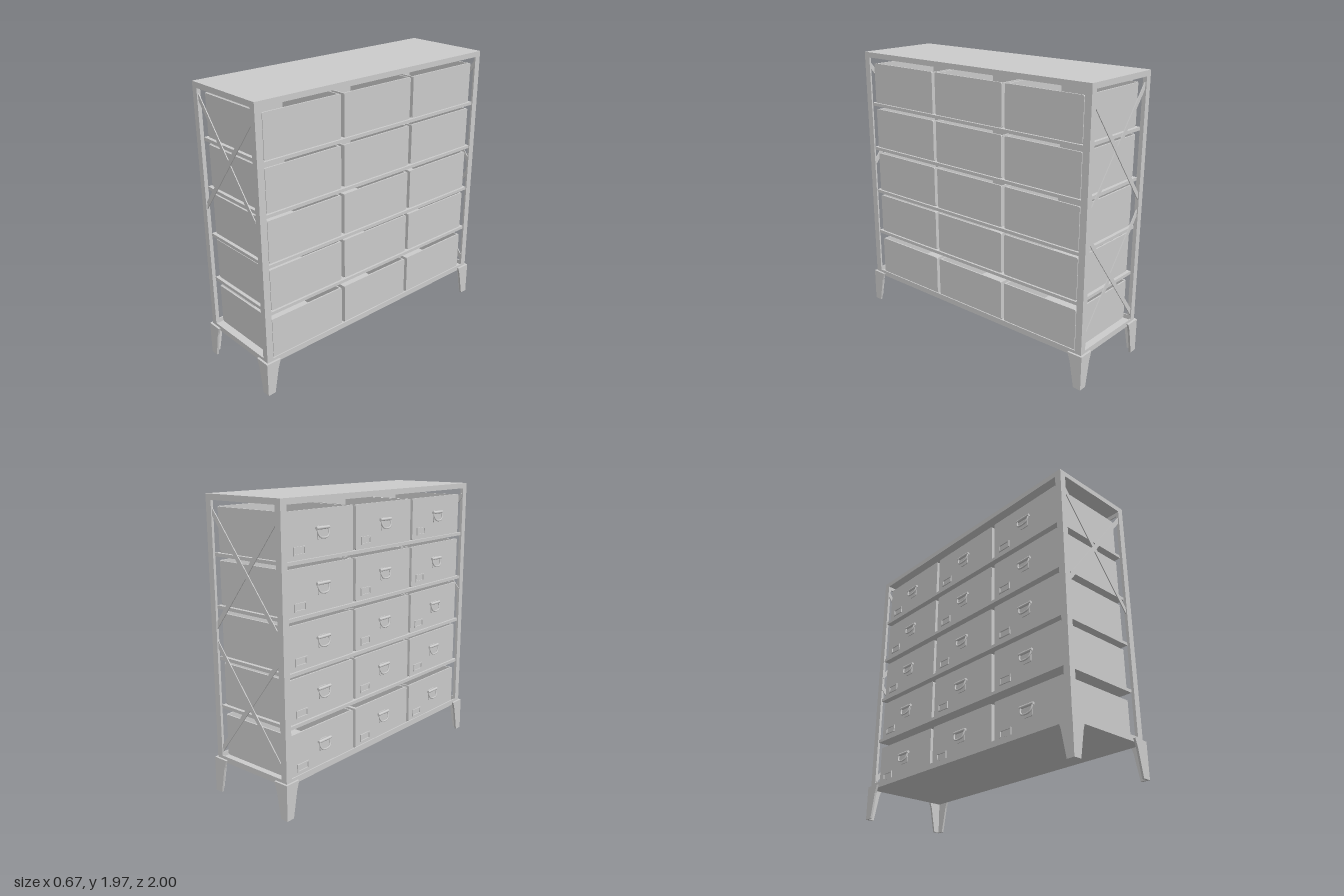
import * as THREE from 'three';

const metal = new THREE.MeshStandardMaterial({ color: 0xcccccc });

function add(parent, name, geometry, x = 0, y = 0, z = 0) {
  const mesh = new THREE.Mesh(geometry, metal);
  mesh.name = name;
  mesh.position.set(x, y, z);
  parent.add(mesh);
  return mesh;
}

// Box given by its minimum and maximum corners
function block(parent, name, [x0, y0, z0], [x1, y1, z1]) {
  const g = new THREE.BoxGeometry(x1 - x0, y1 - y0, z1 - z0);
  return add(parent, name, g, (x0 + x1) / 2, (y0 + y1) / 2, (z0 + z1) / 2);
}

function extrude(points, depth) {
  const shape = new THREE.Shape(points.map(([x, y]) => new THREE.Vector2(x, y)));
  return new THREE.ExtrudeGeometry(shape, { depth, bevelEnabled: false });
}

// Panel with rounded corners, lying in the zy plane with its thickness along x
function roundedPanel(w, h, r, t) {
  const a = w / 2, b = h / 2, s = new THREE.Shape();
  s.moveTo(-a + r, -b);
  s.lineTo(a - r, -b).quadraticCurveTo(a, -b, a, -b + r);
  s.lineTo(a, b - r).quadraticCurveTo(a, b, a - r, b);
  s.lineTo(-a + r, b).quadraticCurveTo(-a, b, -a, b - r);
  s.lineTo(-a, -b + r).quadraticCurveTo(-a, -b, -a + r, -b);
  const g = new THREE.ExtrudeGeometry(s, { depth: t, bevelEnabled: false, curveSegments: 4 });
  return g.translate(0, 0, -t / 2).rotateY(Math.PI / 2);
}

const X = 0.32, Z = 0.985;   // half width and half length of the frame
const T = 0.008;             // sheet thickness

// Shallow tray: a plate with a rim around it
function tray(name, y0, y1, plateY) {
  const g = new THREE.Group();
  g.name = name;
  block(g, 'plate', [-X, plateY, -Z], [X, plateY + T, Z]);
  for (const s of [-1, 1]) {
    const x = s * (X - T / 2), z = s * (Z - T / 2);
    block(g, 'longRim', [x - T / 2, y0, -Z], [x + T / 2, y1, Z]);
    block(g, 'endRim', [-X, y0, z - T / 2], [X, y1, z + T / 2]);
  }
  return g;
}

// Angle-iron corner post
function post(sx, sz) {
  const g = new THREE.Group();
  g.name = 'cornerPost';
  const y = 1.095, h = 1.74;
  add(g, 'sideFlange', new THREE.BoxGeometry(T, h, 0.048), sx * (X - T / 2), y, sz * (Z - 0.024));
  add(g, 'endFlange', new THREE.BoxGeometry(0.045, h, T), sx * (X - 0.0225), y, sz * (Z - T / 2));
  return g;
}

// Tapered foot made of two plates meeting at the corner
function foot(sx, sz) {
  const g = new THREE.Group();
  g.name = 'foot';
  const t = 0.015, fx = 0.335, fz = 1.0;
  const taper = [[0, 0], [0.056, 0], [0.09, 0.18], [0.11, 0.24], [0, 0.24]];
  const plate = (dir) => extrude(
    dir > 0 ? taper : taper.map(([a, b]) => [-a, b]).reverse(), t).translate(0, 0, -t / 2);
  add(g, 'endPlate', plate(-sx), sx * fx, 0, sz * (fz - t / 2));
  add(g, 'sidePlate', plate(sz).rotateY(Math.PI / 2), sx * (fx - t / 2), 0, sz * fz);
  return g;
}

// Crossed flat straps at one end
function crossBrace(y, sz) {
  const g = new THREE.Group();
  g.name = 'crossBrace';
  const angle = Math.atan2(0.7, 0.55);
  [-1, 1].forEach((s) => {
    const strap = add(g, 'strap', new THREE.BoxGeometry(0.96, 0.03, 0.006),
      0, y, sz * (s > 0 ? 0.973 : 0.967));
    strap.rotation.z = s * angle;
  });
  return g;
}

// Open bin with a bail handle and a label frame on its -x face
function drawer(y0, h, z) {
  const g = new THREE.Group();
  g.name = 'drawer';
  g.position.set(0, y0 + h / 2, z);
  const w = 0.592, D = 0.295, t = 0.01, b = h / 2;
  for (const s of [-1, 1]) {
    add(g, 'facePanel', roundedPanel(w, h, 0.012, t), s * (D - t / 2), 0, 0);
    const e = s * (w / 2 - t / 2);
    block(g, 'endWall', [-D + t, -b, e - t / 2], [D - t, b - 0.004, e + t / 2]);
  }
  block(g, 'floor', [-D + t, -b, -w / 2 + t], [D - t, -b + t, w / 2 - t]);

  const pull = new THREE.Group();
  pull.name = 'handle';
  pull.position.x = -D;
  g.add(pull);
  add(pull, 'backPlate', roundedPanel(0.075, 0.085, 0.012, 0.006), -0.003, 0, 0);
  const bar = add(pull, 'hingeBar', new THREE.CylinderGeometry(0.01, 0.01, 0.115, 10), -0.012, 0.03, 0);
  bar.rotation.x = Math.PI / 2;
  const bail = new THREE.CatmullRomCurve3([
    [-0.012, 0.03, -0.05], [-0.02, -0.005, -0.046], [-0.024, -0.024, -0.03],
    [-0.024, -0.024, 0.03], [-0.02, -0.005, 0.046], [-0.012, 0.03, 0.05],
  ].map((p) => new THREE.Vector3(...p)));
  add(pull, 'bail', new THREE.TubeGeometry(bail, 20, 0.006, 6), 0, 0, 0);

  const label = new THREE.Group();
  label.name = 'labelFrame';
  label.position.set(-D - 0.004, -b + 0.055, -w / 2 + 0.1);
  g.add(label);
  for (const s of [-1, 1]) {
    add(label, 'rail', new THREE.BoxGeometry(0.008, 0.008, 0.1), 0, s * 0.022, 0);
    add(label, 'stile', new THREE.BoxGeometry(0.008, 0.052, 0.008), 0, 0, s * 0.046);
  }
  return g;
}

export function createModel() {
  const model = new THREE.Group();
  model.name = 'drawerCabinet';

  // Frame
  model.add(tray('top', 1.93, 1.967, 1.959), tray('base', 0.22, 0.26, 0.22));
  for (const sx of [-1, 1]) for (const sz of [-1, 1]) model.add(post(sx, sz), foot(sx, sz));

  // Shelves
  const shelfTops = [0.595, 0.928, 1.265, 1.6];
  for (const y of shelfTops) block(model, 'shelf', [-0.31, y - 0.022, -0.94], [0.31, y, 0.94]);

  // Braces: one cross on the front end, two on the back
  model.add(crossBrace(1.505, 1), crossBrace(1.505, -1), crossBrace(0.667, -1));

  // Three columns and five rows of drawers
  for (const y of [0.24, ...shelfTops])
    for (const z of [-0.62, 0, 0.62]) model.add(drawer(y, 0.288, z));

  return model;
}
